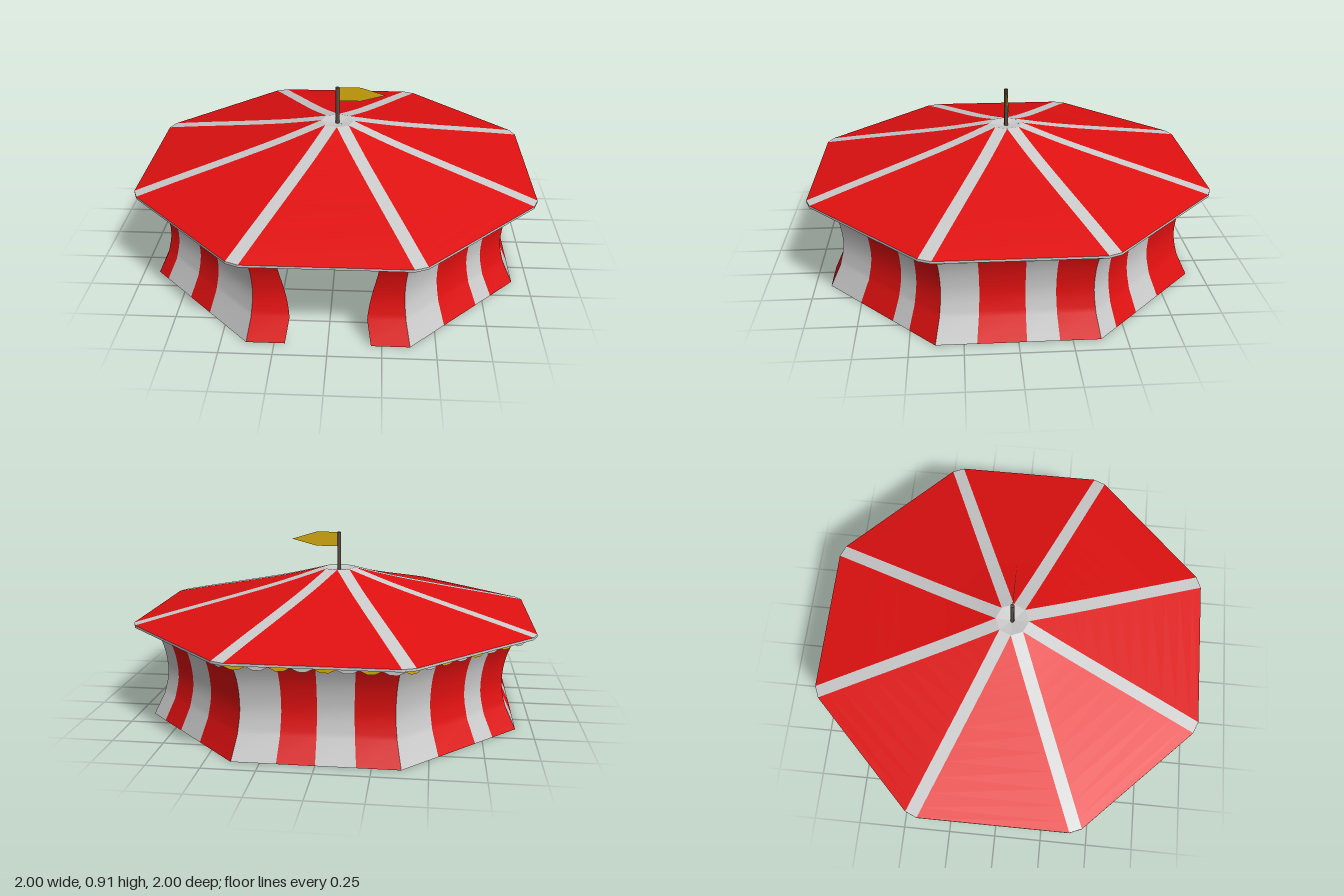
import * as THREE from 'three';

const T = Math.tan(Math.PI / 8), C = Math.cos(Math.PI / 8);
const STEP = Math.PI / 4;

const paint = (color, flatShading = false) =>
  new THREE.MeshStandardMaterial({ color, flatShading, side: THREE.DoubleSide });
const red = paint(0xe01010), white = paint(0xcccccc), yellow = paint(0xd9ac0c);
const brown = paint(0x5a4a40), trim = paint(0xcccccc, true);

// Cloth strip from rows [y, z, xLeft, xRight], bottom (outer) row first
function strip(name, rows, material) {
  const pos = [], idx = [];
  rows.forEach(([y, z, l, r], i) => {
    pos.push(l, y, z, r, y, z);
    if (i) {
      const a = 2 * i - 2;
      idx.push(a, a + 1, a + 3, a, a + 3, a + 2);
    }
  });
  const geo = new THREE.BufferGeometry();
  geo.setAttribute('position', new THREE.Float32BufferAttribute(pos, 3));
  geo.setIndex(idx);
  geo.computeVertexNormals();
  const mesh = new THREE.Mesh(geo, material);
  mesh.name = name;
  return mesh;
}

function flatShape(points, name, material) {
  const shape = new THREE.Shape(points.map(([x, y]) => new THREE.Vector2(x, y)));
  const mesh = new THREE.Mesh(new THREE.ShapeGeometry(shape), material);
  mesh.name = name;
  return mesh;
}

// Smooth profile of [apothem, y] through a few points
const profile = (pts, n) =>
  new THREE.SplineCurve(pts.map(p => new THREE.Vector2(...p))).getPoints(n).map(p => [p.x, p.y]);

const wallProfile = [[0.92, 0],
  ...profile([[0.868, 0.11], [0.845, 0.22], [0.855, 0.34], [0.885, 0.43], [0.92, 0.495]], 12)];
const roofProfile = profile([[1, 0.487], [0.8, 0.537], [0.55, 0.597], [0.3, 0.66], [0.085, 0.724]], 12);
const RIB = 0.0325; // half width of a roof rib

// Stripe boundaries of the seven closed faces, going round from the door
const stripes = [
  [0, 0.31, 0.62, 0.77, 1],
  [0, 0.25, 0.55, 0.75, 1],
  [0, 0.16, 0.38, 0.63, 1],
  [0, 0.27, 0.5, 0.74, 1],
  [0, 0.3, 0.62, 0.78, 1],
  [0, 0.25, 0.55, 0.75, 1],
  [0, 0.11, 0.39, 0.61, 1],
];

function wallFace(k) {
  const g = new THREE.Group();
  g.name = 'wallFace';
  if (k === 0) {
    // Door curtains either side of the entrance
    const opening = profile([[0.2, 0], [0.18, 0.11], [0.2, 0.24], [0.225, 0.36], [0.24, 0.495]], 12);
    const half = y => {
      const i = Math.max(1, opening.findIndex(p => p[1] >= y - 1e-6));
      const [a, b] = [opening[i - 1], opening[i]];
      return THREE.MathUtils.mapLinear(y, a[1], b[1], a[0], b[0]);
    };
    g.add(strip('doorCurtainRight', wallProfile.map(([a, y]) => [y, a, -a * T, -half(y)]), red));
    g.add(strip('doorCurtainLeft', wallProfile.map(([a, y]) => [y, a, half(y), a * T]), red));
    return g;
  }
  const b = stripes[k - 1], firstRed = k === 7 ? 0 : 1;
  for (let i = 0; i < 4; i++) {
    const x = (a, t) => a * T * (2 * t - 1);
    g.add(strip('wallStripe', wallProfile.map(([a, y]) => [y, a, x(a, b[i]), x(a, b[i + 1])]),
      i % 2 === firstRed ? red : white));
  }
  return g;
}

function bunting() {
  const g = new THREE.Group();
  g.name = 'bunting';
  const a = 0.95, n = 8, w = a * T / n;
  for (let i = 0; i < n; i++) {
    const flag = flatShape([[-w, 0.49], [-w, 0.459], [-w * 0.35, 0.443], [w * 0.35, 0.443], [w, 0.459], [w, 0.49]],
      'buntingFlag', i % 2 ? white : yellow);
    flag.position.set((2 * i + 1 - n) * w, 0, a);
    g.add(flag);
  }
  return g;
}

export function createModel() {
  const tent = new THREE.Group();
  tent.name = 'tent';
  const panelHalf = a => Math.max(0, a * T - RIB / C);
  const ribDist = a => a / C - RIB * T;
  const eave = [[0.9, 0.475], [1, 0.475], [1, 0.487]]; // soffit and fascia

  for (let k = 0; k < 8; k++) {
    // One side: wall, bunting, roof panel and eave
    const side = new THREE.Group();
    side.name = 'side';
    side.rotation.y = k * STEP;
    side.add(wallFace(k), bunting(),
      strip('roofPanel', roofProfile.map(([a, y]) => [y, a, -panelHalf(a), panelHalf(a)]), red),
      strip('eave', eave.map(([a, y]) => [y, a, -panelHalf(a), panelHalf(a)]), trim));

    // One corner: roof rib running up to the shallow crown
    const corner = new THREE.Group();
    corner.name = 'corner';
    corner.rotation.y = (k + 0.5) * STEP;
    const ribRow = ([a, y]) => [y, ribDist(a), -RIB, RIB];
    corner.add(strip('roofRib', roofProfile.map(ribRow), white),
      strip('crown', [ribRow(roofProfile.at(-1)), [0.71, 0, 0, 0]], white),
      strip('eaveCorner', eave.map(ribRow), trim));
    tent.add(side, corner);
  }

  // Pole and pennant
  const pole = new THREE.Mesh(new THREE.CylinderGeometry(0.01, 0.01, 0.21, 12), brown);
  pole.name = 'flagPole';
  pole.position.y = 0.805;
  const pennant = flatShape([[0, 0.835], [0.12, 0.835], [0.25, 0.87], [0.12, 0.91], [0, 0.91]], 'pennant', yellow);
  tent.add(pole, pennant);
  return tent;
}
